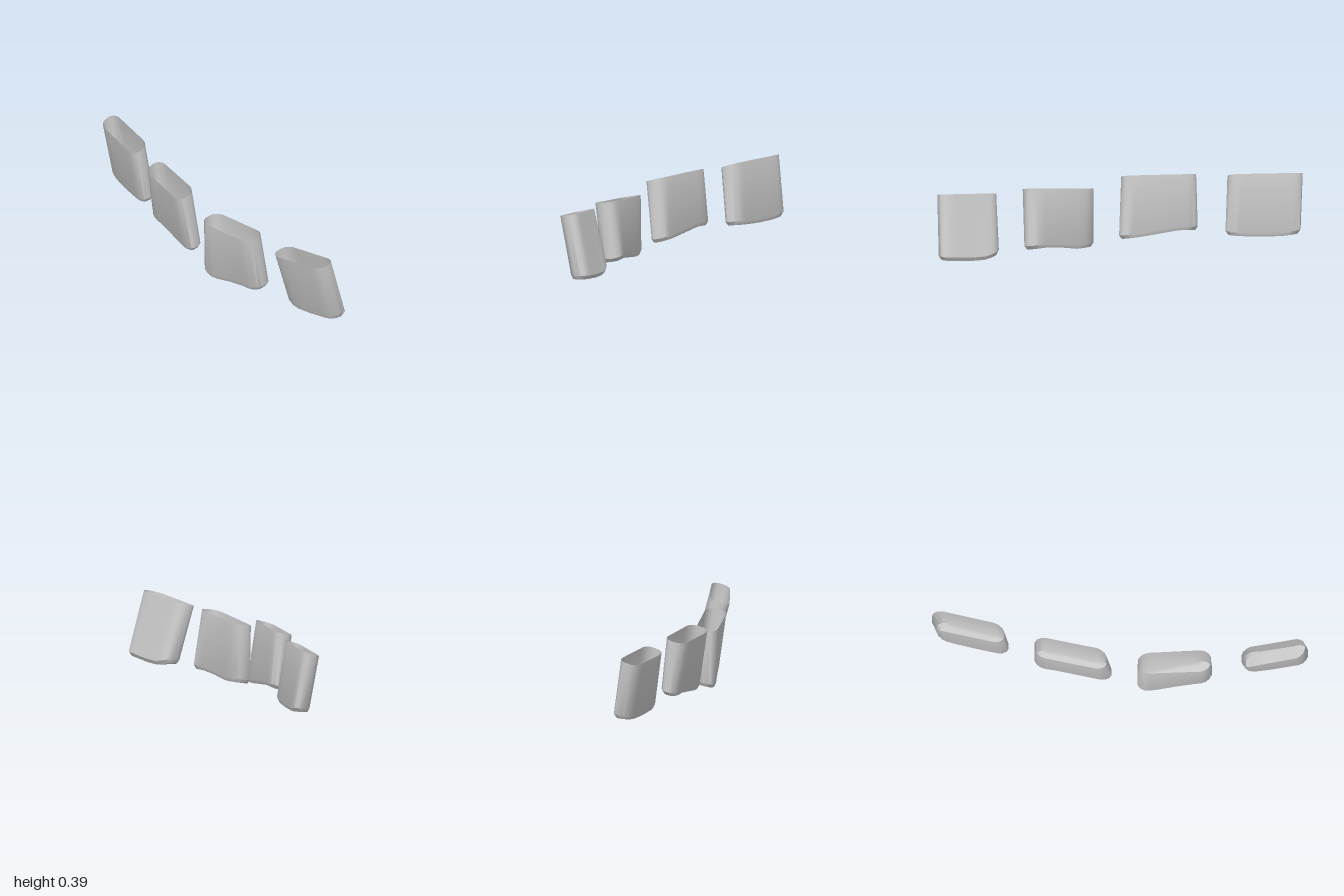
import * as THREE from 'three';
import { toCreasedNormals } from 'three/addons/utils/BufferGeometryUtils.js';

// Columns along the width, and the share of the thickness each one fills (rounded ends)
const COLS = [0, 0.025, 0.08, 0.14, 0.25, 0.4, 0.5, 0.6, 0.75, 0.86, 0.92, 0.975, 1];
const FILL = [0.32, 0.64, 0.9, 1, 1, 1, 1, 1, 1, 1, 0.9, 0.64, 0.32];

const lerp = THREE.MathUtils.lerp;

// Samples an evenly spaced list at u in 0..1
function sample(list, u) {
  const t = u * (list.length - 1);
  const i = Math.min(Math.floor(t), list.length - 2);
  return lerp(list[i], list[i + 1], t - i);
}

// Closed loop: front side left to right, then back side right to left.
// x, back, front are [left, right]; height(u, v) has v = 0 at the back, 1 at the front
function loop({ x, back, front }, height, inset = 0) {
  const point = (i, side) => {
    const u = lerp(COLS[i], 0.5, inset);
    const v = 0.5 + side * 0.5 * FILL[i] * (1 - 2.5 * inset);
    return [lerp(...x, u), height(u, v), lerp(lerp(...back, u), lerp(...front, u), v)];
  };
  const ids = COLS.map((_, i) => i);
  return [...ids.map((i) => point(i, 1)), ...ids.reverse().map((i) => point(i, -1))];
}

function pouchGeometry({ rim, base }) {
  const rimY = (u, v) => lerp(lerp(...rim.yBack, u), lerp(...rim.yFront, u), v);
  const lowY = (u, v) => sample(base.y, u) + (1 - v) * base.slope;
  const rings = [
    loop(base, lowY, 0.07),
    loop(base, (u, v) => lowY(u, v) + 0.02),
    loop(rim, rimY),
  ];
  const n = rings[0].length;
  const index = [];
  const quad = (a, b, c, d) => index.push(a, b, c, a, c, d);

  // Lower rounding and side walls
  for (let r = 0; r < rings.length - 1; r++) {
    for (let i = 0; i < n; i++) {
      const j = (i + 1) % n;
      quad(r * n + i, r * n + j, (r + 1) * n + j, (r + 1) * n + i);
    }
  }
  // Closed underside: strip between front and back columns
  for (let i = 0; i < COLS.length - 1; i++) quad(i, n - 1 - i, n - 2 - i, i + 1);

  const geometry = new THREE.BufferGeometry();
  geometry.setAttribute('position', new THREE.Float32BufferAttribute(rings.flat(2), 3));
  geometry.setIndex(index);
  return toCreasedNormals(geometry, 0.6);
}

// Four open pouches from the model's right to its left
const POUCHES = [
  {
    name: 'outerRightPouch',
    rim: { x: [-1, -0.615], back: [-0.135, -0.055], front: [-0.035, 0.04], yBack: [0.397, 0.397], yFront: [0.365, 0.362] },
    base: { x: [-0.975, -0.592], back: [-0.18, -0.095], front: [-0.08, 0], y: [0.065, 0.053, 0.05, 0.053, 0.06], slope: 0.012 },
  },
  {
    name: 'innerRightPouch',
    rim: { x: [-0.45, -0.065], back: [0, 0.07], front: [0.105, 0.175], yBack: [0.397, 0.397], yFront: [0.368, 0.365] },
    base: { x: [-0.45, -0.04], back: [-0.028, 0.03], front: [0.07, 0.125], y: [0.075, 0.08, 0.065, 0.05, 0.04], slope: 0.02 },
  },
  {
    name: 'innerLeftPouch',
    rim: { x: [0.1, 0.487], back: [0.062, 0.04], front: [0.17, 0.155], yBack: [0.338, 0.362], yFront: [0.315, 0.343] },
    base: { x: [0.1, 0.492], back: [0.062, -0.012], front: [0.165, 0.108], y: [0.005, 0, 0.018, 0.028, 0.024], slope: 0.02 },
  },
  {
    name: 'outerLeftPouch',
    rim: { x: [0.65, 0.985], back: [0.025, -0.035], front: [0.13, 0.065], yBack: [0.358, 0.386], yFront: [0.332, 0.364] },
    base: { x: [0.66, 1], back: [-0.06, -0.12], front: [0.048, -0.01], y: [0.035, 0.014, 0.016, 0.025, 0.034], slope: 0.008 },
  },
];

export function createModel() {
  const model = new THREE.Group();
  model.name = 'pouchRow';
  const material = new THREE.MeshStandardMaterial({ color: 0xcccccc, side: THREE.DoubleSide });
  for (const spec of POUCHES) {
    const pouch = new THREE.Mesh(pouchGeometry(spec), material);
    pouch.name = spec.name;
    model.add(pouch);
  }
  return model;
}
